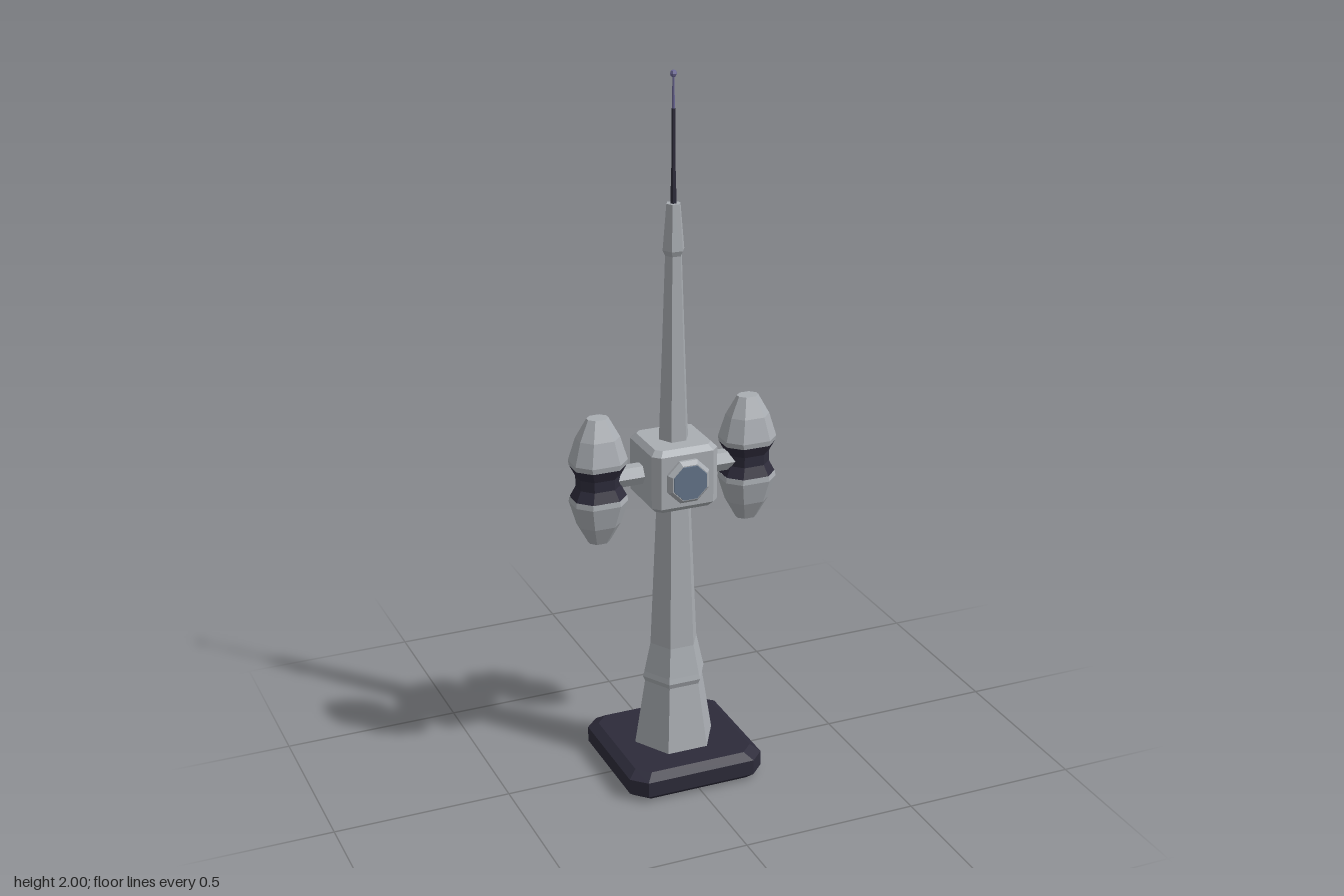
import * as THREE from 'three';

const mat = (name, color) => {
  const m = new THREE.MeshStandardMaterial({ color, flatShading: true });
  m.name = name;
  return m;
};

// Closed solid through chamfered rectangles; each ring is [y, halfX, halfZ, chamfer]
function loft(rings) {
  const loops = rings.map(([y, hx, hz, c]) => {
    const fx = hx - c, fz = hz - c;
    return [[hx, -fz], [hx, fz], [fx, hz], [-fx, hz], [-hx, fz], [-hx, -fz], [-fx, -hz], [fx, -hz]]
      .map(([x, z]) => new THREE.Vector3(x, y, z));
  });
  const pts = [];
  const bottom = new THREE.Vector3(0, rings[0][0], 0);
  const top = new THREE.Vector3(0, rings[rings.length - 1][0], 0);
  for (let j = 0; j < 8; j++) {
    const k = (j + 1) % 8;
    for (let i = 0; i < loops.length - 1; i++) {
      const a = loops[i][j], b = loops[i][k], c = loops[i + 1][k], d = loops[i + 1][j];
      pts.push(a, d, c, a, c, b);
    }
    const last = loops[loops.length - 1];
    pts.push(bottom, loops[0][j], loops[0][k], top, last[k], last[j]);
  }
  const g = new THREE.BufferGeometry().setFromPoints(pts);
  g.computeVertexNormals();
  return g;
}

// Six-sided turned shape with corners on the x axis
const hexLathe = (profile) =>
  new THREE.LatheGeometry(profile.map(([r, y]) => new THREE.Vector2(r, y)), 6, Math.PI / 2);

export function createModel() {
  const model = new THREE.Group();
  model.name = 'relayTower';
  const grey = mat('paleGrey', 0xa9adb2);
  const dark = mat('darkIndigo', 0x2d2b3a);
  const glass = mat('slateBlue', 0x64758a);
  const violet = mat('mutedViolet', 0x6c6896);

  const add = (parent, name, geometry, material) => {
    const m = new THREE.Mesh(geometry, material);
    m.name = name;
    parent.add(m);
    return m;
  };

  // Foot slab
  add(model, 'base', loft([
    [0, 0.18, 0.18, 0.035], [0.018, 0.2, 0.2, 0.04], [0.062, 0.2, 0.2, 0.04], [0.08, 0.175, 0.175, 0.035],
  ]), dark);

  // Tapering mast with a collar low down and a cap at the top
  add(model, 'mast', hexLathe([
    [0, 0.08], [0.118, 0.08], [0.087, 0.27], [0.093, 0.285], [0.089, 0.3], [0.07, 0.385],
    [0.05, 0.82], [0.043, 0.99], [0.024, 1.51], [0.031, 1.525], [0.02, 1.65], [0, 1.65],
  ]), grey);

  // Needle antenna and its tip
  add(model, 'needle', hexLathe([[0, 1.65], [0.009, 1.65], [0.006, 1.75], [0.005, 1.9], [0, 1.9]]), dark);
  add(model, 'needleTip', hexLathe([[0, 1.9], [0.004, 1.9], [0.003, 1.985], [0, 1.985]]), violet);
  add(model, 'tipBeacon', new THREE.SphereGeometry(0.01, 6, 4), violet).position.y = 1.99;

  // Central housing
  add(model, 'housing', loft([
    [0.815, 0.082, 0.082, 0.016], [0.83, 0.096, 0.096, 0.02],
    [0.98, 0.096, 0.096, 0.02], [0.995, 0.082, 0.082, 0.016],
  ]), grey);

  // Front porthole: bevelled rim and glass
  const porthole = new THREE.Group();
  porthole.name = 'porthole';
  porthole.position.set(0, 0.905, 0.09);
  porthole.rotation.x = Math.PI / 2;
  model.add(porthole);
  add(porthole, 'portholeRim', loft([
    [0, 0.06, 0.06, 0.035], [0.014, 0.06, 0.06, 0.035], [0.025, 0.05, 0.05, 0.029],
  ]), grey);
  add(porthole, 'portholeGlass', loft([
    [0.024, 0.048, 0.048, 0.028], [0.028, 0.047, 0.047, 0.0275],
  ]), glass);

  // Arms and waisted pods on both sides
  for (const side of [1, -1]) {
    const label = side > 0 ? 'left' : 'right';
    const arm = add(model, label + 'Arm', new THREE.CylinderGeometry(0.03, 0.03, 0.1, 6), grey);
    arm.rotation.z = Math.PI / 2;
    arm.position.set(side * 0.13, 0.905, 0);

    const pod = new THREE.Group();
    pod.name = label + 'Pod';
    pod.position.set(side * 0.22, 0.905, 0);
    model.add(pod);
    const shell = [
      [0.045, 0.073, 0.062, 0.035], [0.06, 0.075, 0.064, 0.035],
      [0.125, 0.057, 0.048, 0.028], [0.18, 0.029, 0.022, 0.015],
    ];
    add(pod, 'podUpperShell', loft(shell), grey);
    add(pod, 'podLowerShell', loft(shell.map(([y, ...r]) => [-y, ...r]).reverse()), grey);
    add(pod, 'podBand', loft([
      [-0.046, 0.073, 0.062, 0.035], [-0.015, 0.058, 0.049, 0.029],
      [0.015, 0.058, 0.049, 0.029], [0.046, 0.073, 0.062, 0.035],
    ]), dark);
  }
  return model;
}
